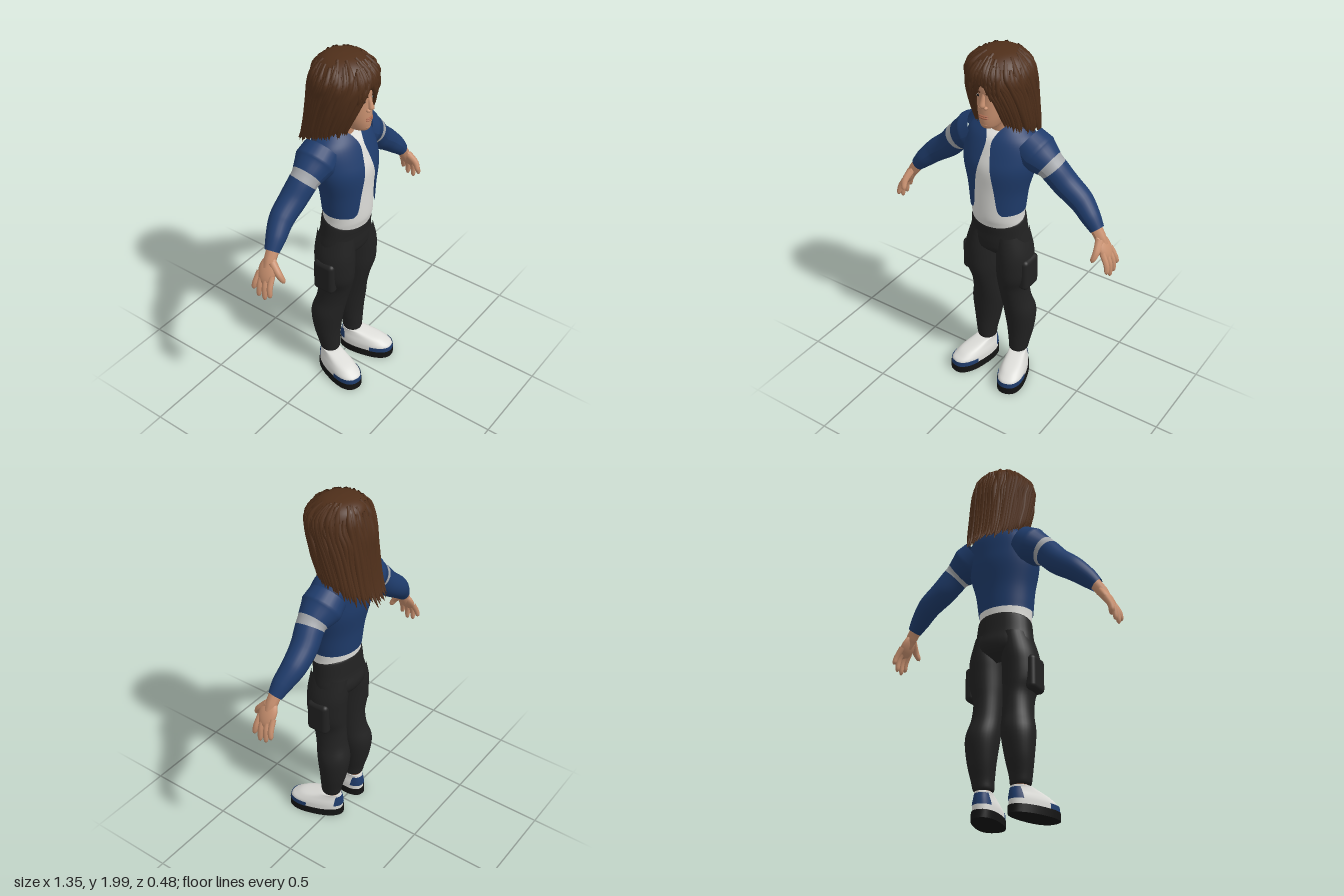
import * as THREE from 'three';
import { RoundedBoxGeometry } from 'three/addons/geometries/RoundedBoxGeometry.js';

const mat = (name, color, side = THREE.FrontSide) => {
  const m = new THREE.MeshStandardMaterial({ color, side });
  m.name = name;
  return m;
};
const skin = mat('skin', 0xc8906f), lip = mat('lips', 0xa8694f);
const hairBrown = mat('hairBrown', 0x4f2f1a, THREE.DoubleSide);
const blue = mat('jacketBlue', 0x1f3c6c, THREE.DoubleSide);
const white = mat('white', 0xdcdcd8, THREE.DoubleSide), grey = mat('stripeGrey', 0xa5a8ac);
const black = mat('trouserBlack', 0x222222), soleBlack = mat('soleBlack', 0x141414);

let seed = 7;
const rnd = () => (seed = (seed * 16807) % 2147483647) / 2147483647;

function add(parent, name, geo, material, pos = [0, 0, 0], scale = [1, 1, 1]) {
  const m = new THREE.Mesh(geo, material);
  m.name = name;
  m.position.set(...pos);
  m.scale.set(...scale);
  parent.add(m);
  return m;
}

// Smooth value of ring channels at position u; ring = [y, cx, cz, rx, rz, gap, tilt]
function sample(rings, u) {
  const n = rings.length - 1, k = Math.min(Math.floor(u), n - 1), f = u - k;
  const at = (i, c) => rings[Math.max(0, Math.min(n, i))][c] || 0;
  return [0, 1, 2, 3, 4, 5, 6].map((c) => {
    const [a, b, d, e] = [at(k - 1, c), at(k, c), at(k + 1, c), at(k + 2, c)];
    const v = b + 0.5 * f * (d - a + f * (2 * a - 5 * b + 4 * d - e + f * (3 * (b - d) + e - a)));
    return c >= 3 && c <= 5 ? Math.max(v, 0) : v;
  });
}

// Point on a ring, t measured from the front (+z) towards +x
function ringPoint([y, cx, cz, rx, rz, , tilt], t, power = 1, egg = 0) {
  const p = (v) => Math.sign(v) * Math.abs(v) ** power, c = Math.cos(t);
  return [cx + rx * (1 + egg * c) * p(Math.sin(t)), y + tilt * c, cz + rz * p(c)];
}

// Surface through rings listed from bottom to top
function loft(rings, { n = 32, steps = 5, power = 1, egg = 0, arc } = {}) {
  const pos = [], idx = [], rows = (rings.length - 1) * steps;
  for (let i = 0; i <= rows; i++) {
    const r = sample(rings, i / steps);
    const [a, b] = arc || [r[5], 2 * Math.PI - r[5]];
    for (let j = 0; j <= n; j++) pos.push(...ringPoint(r, a + ((b - a) * j) / n, power, egg));
  }
  for (let i = 0; i < rows; i++) for (let j = 0; j < n; j++) {
    const a = i * (n + 1) + j, c = a + n + 1;
    idx.push(a, a + 1, c + 1, a, c + 1, c);
  }
  const g = new THREE.BufferGeometry();
  g.setAttribute('position', new THREE.Float32BufferAttribute(pos, 3));
  g.setIndex(idx);
  g.computeVertexNormals();
  if (!arc && !rings.some((r) => r[5])) { // blend normals over the seam
    const N = g.attributes.normal, p = new THREE.Vector3(), q = new THREE.Vector3();
    for (let i = 0; i <= rows; i++) {
      const a = i * (n + 1), b = a + n;
      p.fromBufferAttribute(N, a).add(q.fromBufferAttribute(N, b)).normalize();
      N.setXYZ(a, p.x, p.y, p.z);
      N.setXYZ(b, p.x, p.y, p.z);
    }
  }
  return g;
}

// Tube along points with one radius per point and an optional rounded tip
function limb(points, radii, { segs = 14, sides = 10, tip = true } = {}) {
  const curve = new THREE.CatmullRomCurve3(points.map((p) => new THREE.Vector3(...p)));
  const g = new THREE.TubeGeometry(curve, segs, 1, sides), P = g.attributes.position, v = new THREE.Vector3();
  for (let i = 0; i <= segs; i++) {
    const u = i / segs, c = curve.getPointAt(u), t = curve.getUtoTmapping(u) * (radii.length - 1);
    const k = Math.min(Math.floor(t), radii.length - 2);
    let r = THREE.MathUtils.lerp(radii[k], radii[k + 1], t - k);
    if (tip && u > 0.8) r *= Math.sqrt(Math.max(0.0001, 1 - ((u - 0.8) / 0.2) ** 2));
    for (let j = 0; j <= sides; j++) {
      const q = i * (sides + 1) + j;
      v.fromBufferAttribute(P, q).sub(c).multiplyScalar(r).add(c);
      P.setXYZ(q, v.x, v.y, v.z);
    }
  }
  g.computeVertexNormals();
  return g;
}

const ball = new THREE.SphereGeometry(1, 20, 14);

function buildTorso(g) {
  add(g, 'shirt', loft([[1, 0, 0.04, 0.14, 0.108], [1.05, 0, 0.043, 0.147, 0.118], [1.1, 0, 0.046, 0.147, 0.124],
    [1.25, 0, 0.043, 0.158, 0.127], [1.37, 0, 0.033, 0.188, 0.14], [1.45, 0, 0.02, 0.19, 0.131],
    [1.53, 0, 0.003, 0.165, 0.114], [1.56, 0, 0.005, 0.06, 0.06]]), white);
  add(g, 'jacketBody', loft([[1.12, 0, 0.048, 0.153, 0.13, 0.66], [1.15, 0, 0.047, 0.156, 0.132, 0.48],
    [1.25, 0, 0.043, 0.169, 0.139, 0.36], [1.37, 0, 0.033, 0.2, 0.152, 0.21], [1.45, 0, 0.02, 0.205, 0.143, 0.13],
    [1.53, 0, 0.003, 0.19, 0.126, 0.09], [1.58, 0, -0.008, 0.135, 0.103, 0.3], [1.615, 0, -0.01, 0.1, 0.08, 0.75]],
  { n: 48 }), blue);
  add(g, 'hips', loft([[0.82, 0, 0.03, 0.06, 0.06], [0.87, 0, 0.027, 0.168, 0.112], [0.92, 0, 0.025, 0.172, 0.125],
    [0.98, 0, 0.032, 0.162, 0.12], [1.055, 0, 0.039, 0.152, 0.118, 0, -0.025], [1.056, 0, 0.039, 0.14, 0.106, 0, -0.025]]), black);
  add(g, 'neck', limb([[0, 1.5, -0.01], [0, 1.6, 0.01], [0, 1.7, 0.03]], [0.075, 0.06, 0.06], { tip: false, sides: 20 }), skin);
}

function buildArm(g, s) {
  // Sleeve with a stripe around the upper arm
  const segs = 60, sides = 24, per = sides * 6;
  const sleeve = limb([[0.14, 1.5, -0.01], [0.2, 1.46, -0.01], [0.28, 1.41, -0.01], [0.36, 1.325, -0.025],
    [0.45, 1.255, -0.028], [0.52, 1.19, -0.01], [0.565, 1.14, 0]].map(([x, y, z]) => [s * x, y, z]),
  [0.1, 0.109, 0.075, 0.071, 0.064, 0.052, 0.038], { segs, sides, tip: false });
  [[0, 16, 0], [16, 20, 1], [20, segs, 0]].forEach(([a, b, m]) => sleeve.addGroup(a * per, (b - a) * per, m));
  add(g, 'sleeve', sleeve, [blue, grey]);

  // Hand: wrist, palm, four fingers and a thumb
  const hand = new THREE.Group();
  hand.name = 'hand';
  g.add(hand);
  const digit = (name, pts, r) => add(hand, name, limb(pts.map(([x, y, z]) => [s * x, y, z]), r), skin);
  digit('wrist', [[0.545, 1.165, 0], [0.59, 1.1, 0.005], [0.63, 1.03, 0.008]], [0.034, 0.031, 0.02]);
  add(hand, 'palm', ball, skin, [s * 0.615, 1.06, 0.01], [0.024, 0.075, 0.052]).rotation.z = s * 0.54;
  [[0.046, 0.062, 0.935], [0.02, 0.026, 0.905], [-0.008, -0.012, 0.912], [-0.031, -0.046, 0.945]].forEach(([z0, z1, y]) =>
    digit('finger', [[0.625, 1.045, z0], [0.657, 0.985, (z0 + z1) / 2], [0.666, y, z1]], [0.016, 0.015, 0.012]));
  digit('thumb', [[0.595, 1.1, 0.025], [0.605, 1.05, 0.075], [0.595, 1.005, 0.1]], [0.022, 0.018, 0.013]);
}

function buildLeg(g, s) {
  add(g, 'trouserLeg', loft([[0.145, 0.107, 0.004, 0.03, 0.03], [0.152, 0.107, 0.004, 0.052, 0.054], [0.2, 0.11, 0, 0.06, 0.061],
    [0.3, 0.11, -0.012, 0.077, 0.077], [0.42, 0.105, -0.012, 0.09, 0.093], [0.52, 0.092, 0.01, 0.081, 0.09],
    [0.62, 0.088, 0.027, 0.08, 0.098], [0.7, 0.098, 0.035, 0.095, 0.11], [0.78, 0.1, 0.035, 0.098, 0.115],
    [0.86, 0.096, 0.032, 0.094, 0.118], [0.97, 0.08, 0.03, 0.075, 0.11]].map((r) => [r[0], s * r[1], ...r.slice(2)])), black);
  add(g, 'cargoPocket', new RoundedBoxGeometry(0.06, 0.19, 0.13, 4, 0.025), black, [s * 0.18, 0.735, 0.03]);
  add(g, 'ankle', new THREE.CylinderGeometry(0.042, 0.04, 0.09, 20), skin, [s * 0.107, 0.135, 0]);

  // Shoe, turned slightly outwards
  const shoe = new THREE.Group();
  shoe.name = 'shoe';
  shoe.position.x = s * 0.107;
  shoe.rotation.y = s * 0.28;
  g.add(shoe);
  const o = { steps: 1, power: 0.85, egg: 0.12 };
  const sole = [0.093, 0.162, 0.077];
  const ring = (y, [cz, rz, rx], grow = 0) => [y, 0, cz, rx + grow, rz + grow];
  add(shoe, 'sole', loft([ring(0, [0.093, 0.001, 0.001]), ring(0, sole), ring(0, sole), ring(0.042, sole),
    ring(0.042, sole), ring(0.042, [0.093, 0.001, 0.001])], o), soleBlack);
  const upper = [[0.042, [0.093, 0.156, 0.072]], [0.07, [0.091, 0.154, 0.071]], [0.09, [0.078, 0.14, 0.066]],
    [0.11, [0.06, 0.119, 0.058]], [0.13, [0.026, 0.08, 0.05]], [0.142, [0.002, 0.053, 0.046]], [0.138, [0, 0.04, 0.035]]];
  add(shoe, 'shoeUpper', loft(upper.map(([y, r]) => ring(y, r)), { ...o, steps: 4 }), white);
  add(shoe, 'toeBand', loft(upper.slice(0, 2).map(([y, r]) => ring(y, r, 0.004)), { ...o, arc: [-1.35, 1.35] }), blue);
  add(shoe, 'heelPatch', loft(upper.slice(1, 5).map(([y, r]) => ring(y, r, 0.004)),
    { ...o, arc: [Math.PI - 0.8, Math.PI + 0.8] }), blue);
}

function buildHead(g) {
  add(g, 'face', loft([[1.61, 0, 0.11, 0.012, 0.02], [1.618, 0, 0.105, 0.04, 0.06], [1.65, 0, 0.085, 0.06, 0.092],
    [1.7, 0, 0.07, 0.076, 0.108], [1.78, 0, 0.058, 0.086, 0.116], [1.86, 0, 0.045, 0.088, 0.128], [1.93, 0, 0.03, 0.06, 0.09]]), skin);
  add(g, 'nose', limb([[0, 1.81, 0.165], [0, 1.77, 0.178], [0, 1.735, 0.186]], [0.009, 0.012, 0.018]), skin);
  add(g, 'chin', ball, skin, [0, 1.64, 0.152], [0.03, 0.02, 0.024]);
  [[1.69, 0.006], [1.679, 0.007]].forEach(([y, h]) => add(g, 'lip', ball, lip, [0, y, 0.173], [0.028, h, 0.011]));
  for (const s of [-1, 1]) {
    add(g, 'nostril', ball, skin, [s * 0.016, 1.736, 0.176], [0.01, 0.009, 0.012]);
    add(g, 'eye', ball, white, [s * 0.035, 1.79, 0.162], [0.015, 0.008, 0.007]);
    add(g, 'iris', ball, soleBlack, [s * 0.034, 1.79, 0.167], [0.006, 0.007, 0.004]);
    add(g, 'eyebrow', limb([[s * 0.015, 1.81, 0.172], [s * 0.038, 1.817, 0.167], [s * 0.06, 1.808, 0.145]],
      [0.005, 0.007, 0.003]), hairBrown);
  }
}

function buildHair(g) {
  // Hair shell open over the face
  const shell = [[1.585, 0, -0.035, 0.165, 0.158, 0.5, 0.055], [1.7, 0, -0.005, 0.169, 0.156, 0.42, 0.02],
    [1.8, 0, 0.01, 0.169, 0.162, 0.34], [1.855, 0, 0.02, 0.169, 0.156, 0.12], [1.9, 0, 0.024, 0.164, 0.152],
    [1.955, 0, 0.015, 0.128, 0.125], [1.985, 0, 0.01, 0.075, 0.075], [1.994, 0, 0.01, 0.001, 0.001]];
  add(g, 'hairShell', loft(shell, { n: 48 }), hairBrown);

  // Hanging locks that follow the shell, longest at the back
  const count = 66;
  for (let i = 0; i < count; i++) {
    const f = (i + 0.5 * rnd()) / (count - 0.5), top = 4.2 + 1.9 * rnd(), pts = [];
    for (let k = 0; k < 5; k++) {
      const r = sample(shell, top * (1 - k / 4)), t = r[5] + (2 * Math.PI - 2 * r[5]) * f;
      const [x, y, z] = ringPoint(r, t);
      pts.push([x + 0.003 * (rnd() - 0.5), y, z + 0.003 * (rnd() - 0.5)]);
    }
    const [x, y, z] = pts[4], back = Math.max(0, -Math.cos(2 * Math.PI * f));
    pts.push([x * (0.98 + 0.05 * rnd()), y - 0.01 - 0.03 * rnd() - back * (0.03 + 0.035 * rnd()), z - back * (0.02 + 0.025 * rnd())]);
    const w = 0.012 + 0.006 * rnd();
    add(g, 'hairLock', limb(pts, [w * 0.5, w, w, w, w * 0.8, 0.004], { segs: 20, sides: 7 }), hairBrown);
  }
  // Fringe across the forehead and short strands over it
  for (let i = 0; i < 9; i++) {
    const x = -0.08 + 0.02 * i, drop = 0.02 * rnd() + (i === 6 ? 0.07 : i > 6 || i < 2 ? 0.05 : 0);
    const z = 0.176 - 2 * x * x;
    add(g, 'fringeStrand', limb([[x * 0.7, 1.95, 0.135], [x * 0.9, 1.9, z - 0.004], [x, 1.865 - drop * 0.5, z + 0.003],
      [x * 1.05, 1.85 - drop, z]], [0.01, 0.016, 0.013, 0.004], { sides: 7 }), hairBrown);
  }
}

export function createModel() {
  const model = new THREE.Group();
  model.name = 'figure';
  const part = (name, build, s) => {
    const g = new THREE.Group();
    g.name = name;
    build(g, s);
    model.add(g);
  };
  part('torso', buildTorso);
  for (const [side, s] of [['left', 1], ['right', -1]]) {
    part(side + 'Arm', buildArm, s);
    part(side + 'Leg', buildLeg, s);
  }
  part('head', buildHead);
  part('hair', buildHair);
  return model;
}
